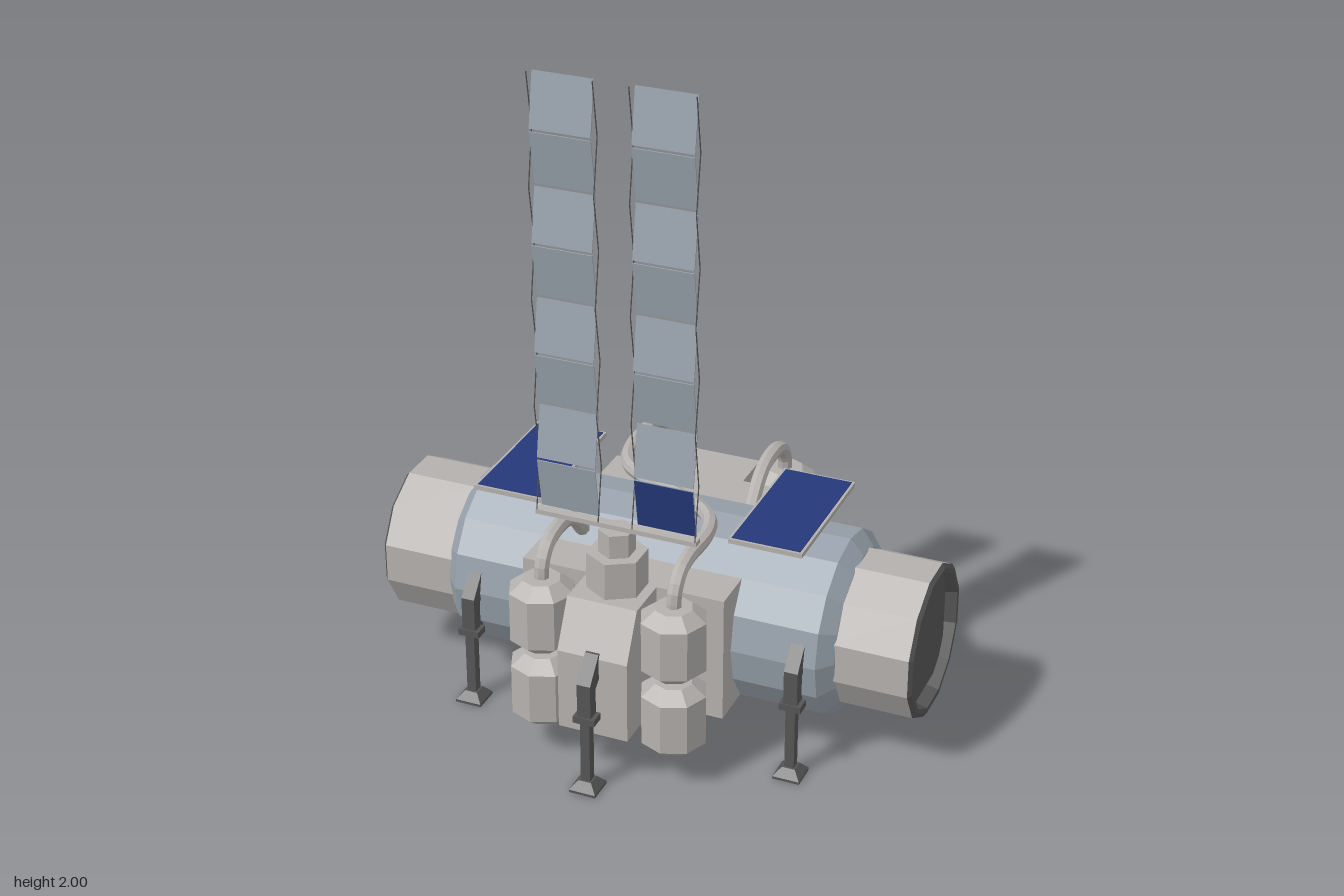
import * as THREE from 'three';

const mat = (color) => new THREE.MeshStandardMaterial({ color, flatShading: true, side: THREE.DoubleSide });
const HULL = mat(0x98a2ac), GREY = mat(0xb4b0ad), DARK = mat(0x555555), BLUE = mat(0x25397a);
const AXIS = 0.345; // height of the hull axis

export function createModel() {
  const root = new THREE.Group();
  const add = (name, geo, material, x = 0, y = 0, z = 0, parent = root) => {
    const m = new THREE.Mesh(geo, material);
    m.name = name;
    m.position.set(x, y, z);
    parent.add(m);
    return m;
  };
  const box = (w, h, d) => new THREE.BoxGeometry(w, h, d);
  const v2 = (pts) => pts.map(([a, b]) => new THREE.Vector2(a, b));
  // profile [radius, x] turned around the x axis
  const turned = (pts, sides, phase = 0) =>
    new THREE.LatheGeometry(v2(pts), sides, phase).rotateZ(-Math.PI / 2);
  // outline [z, y] extruded along x and centred on it
  const slab = (pts, width) => new THREE.ExtrudeGeometry(
    new THREE.Shape(v2(pts.map(([z, y]) => [-z, y]))), { depth: width, bevelEnabled: false })
    .translate(0, 0, -width / 2).rotateY(Math.PI / 2);
  // straight rod between two points
  const rod = (name, a, b, r, material, parent = root) => {
    const A = new THREE.Vector3(...a), B = new THREE.Vector3(...b);
    const m = add(name, new THREE.CylinderGeometry(r, r, A.distanceTo(B), 4), material, 0, 0, 0, parent);
    m.position.copy(A).add(B).multiplyScalar(0.5);
    m.quaternion.setFromUnitVectors(new THREE.Vector3(0, 1, 0), B.sub(A).normalize());
  };

  // main pressure hull
  add('hull', turned([[0, -0.59], [0.225, -0.59], [0.27, -0.55], [0.27, 0.55], [0.225, 0.59], [0, 0.59]], 16), HULL, 0, AXIS);

  // docking ends with recessed hatch
  for (const s of [1, -1]) {
    const end = new THREE.Group();
    end.name = 'dockingEnd';
    end.position.y = AXIS;
    end.rotation.y = s > 0 ? 0 : Math.PI;
    root.add(end);
    const ph = Math.PI / 12;
    add('collar', turned([[0.226, 0.57], [0.226, 0.8]], 12, ph), GREY, 0, 0, 0, end);
    add('rim', turned([[0.226, 0.8], [0.214, 0.81], [0.198, 0.81], [0.186, 0.765], [0, 0.765]], 12, ph), DARK, 0, 0, 0, end);
    const c = 0.165, k = 0.12;
    add('hatch', slab([[c, -k], [c, k], [k, c], [-k, c], [-c, k], [-c, -k], [-k, -c], [k, -c]], 0.02), DARK, 0.772, 0, 0, end);
  }

  // equipment block and its front and back extensions
  add('equipmentBlock', box(0.605, 0.38, 0.65), GREY, 0, 0.345, 0);
  add('equipmentExtension', slab([[0.46, 0.535], [0.53, 0.4], [0.53, 0.155],
    [-0.53, 0.155], [-0.53, 0.4], [-0.46, 0.535]], 0.207), GREY);

  // stacked tanks
  const tank = new THREE.LatheGeometry(v2([[0, -0.11], [0.055, -0.108], [0.096, -0.075],
    [0.096, 0.075], [0.055, 0.108], [0, 0.11]]), 8);
  for (const x of [-0.197, 0.197]) for (const z of [-0.425, 0.425]) for (const y of [0.21, 0.445])
    add('tank', tank, GREY, x, y, z);

  // pipes from the tanks
  const pipe = (name, pts, n) => add(name, new THREE.TubeGeometry(new THREE.CatmullRomCurve3(
    pts.map((p) => new THREE.Vector3(...p))), n, 0.022, 8), GREY);
  const half = [[0.197, 0.54, 0.425], [0.197, 0.59, 0.42], [0.197, 0.635, 0.385], [0.197, 0.652, 0.33],
    [0.197, 0.652, 0.19], [0.165, 0.652, 0.1], [0.09, 0.652, 0.04]];
  pipe('crossPipe', [...half, [0, 0.652, 0], ...half.map(([x, y, z]) => [-x, y, -z]).reverse()], 48);
  for (const s of [1, -1])
    pipe('feedPipe', [[0.425, 0.54], [0.42, 0.59], [0.385, 0.635], [0.33, 0.652], [0.25, 0.645], [0.2, 0.615], [0.14, 0.545]]
      .map(([z, y]) => [-s * 0.197, y, s * z]), 18);

  // flat panels on the roof, carried by fans of struts
  for (const x of [-0.395, 0.378]) {
    add('roofPanelFrame', box(0.215, 0.014, 0.435), GREY, x, 0.662, 0);
    add('roofPanel', box(0.2, 0.004, 0.42), BLUE, x, 0.669, 0);
    for (const dx of [-0.1, 0, 0.1]) for (const dz of [-0.19, 0, 0.19])
      rod('roofPanelStrut', [x, 0.605, 0], [x + dx, 0.657, dz], 0.004, GREY);
  }

  // mast base and crossbar
  const MZ = 0.355;
  add('mastPedestal', new THREE.CylinderGeometry(0.086, 0.086, 0.11, 6), GREY, 0, 0.59, MZ);
  add('mastHead', new THREE.CylinderGeometry(0.052, 0.052, 0.07, 6), GREY, 0, 0.68, MZ);
  add('crossbar', box(0.475, 0.014, 0.028), GREY, 0, 0.722, MZ);

  // folding panel arrays: zigzag leaves with rods crossing the other way
  const N = 8, Y0 = 0.729, H = (2 - Y0) / N, A = 0.013;
  for (const s of [1, -1]) {
    const wing = new THREE.Group();
    wing.name = 'foldingArray';
    root.add(wing);
    for (let i = 0; i < N; i++) {
      const y = Y0 + i * H, d = i % 2 ? A : -A;
      const leaf = add('arrayLeaf', box(0.173, H - 0.006, 0.003), HULL, s * 0.143, y + H / 2, MZ, wing);
      leaf.rotation.x = Math.atan2(-2 * d, H);
      // first leaf of the left array has its cells exposed
      if (i === 0 && s > 0) add('cellFace', box(0.17, H - 0.01, 0.001), BLUE, 0, 0, 0.0022, leaf);
      for (const x of [0.05, 0.234])
        rod('arrayRod', [s * x, y, MZ - d], [s * x, y + H, MZ + d], 0.0018, DARK, wing);
    }
  }

  // landing legs, built outward along +z from the mounting face
  const bracket = slab([[-0.03, 0.415], [0, 0.415], [0.058, 0.345], [0.058, 0.22],
    [0.022, 0.22], [0.022, 0.32], [-0.03, 0.36]], 0.04);
  const foot = new THREE.CylinderGeometry(0.027, 0.056, 0.024, 4).rotateY(Math.PI / 4);
  for (const s of [1, -1]) for (const [x, z] of [[-0.49, 0.252], [0, 0.53], [0.495, 0.252]]) {
    const leg = new THREE.Group();
    leg.name = 'leg';
    leg.position.set(x, 0, s * z);
    leg.rotation.y = s > 0 ? 0 : Math.PI;
    root.add(leg);
    add('legBracket', bracket, DARK, 0, 0, 0, leg);
    add('legShaft', box(0.028, 0.22, 0.028), DARK, 0, 0.13, 0.04, leg);
    add('legClamp', box(0.064, 0.02, 0.045), DARK, 0, 0.232, 0.04, leg);
    add('legBrace', box(0.02, 0.02, 0.08), DARK, 0, 0.232, 0, leg);
    add('footPad', foot, DARK, 0, 0.02, 0.04, leg);
    add('footSole', box(0.079, 0.008, 0.079), DARK, 0, 0.004, 0.04, leg);
  }
  return root;
}
